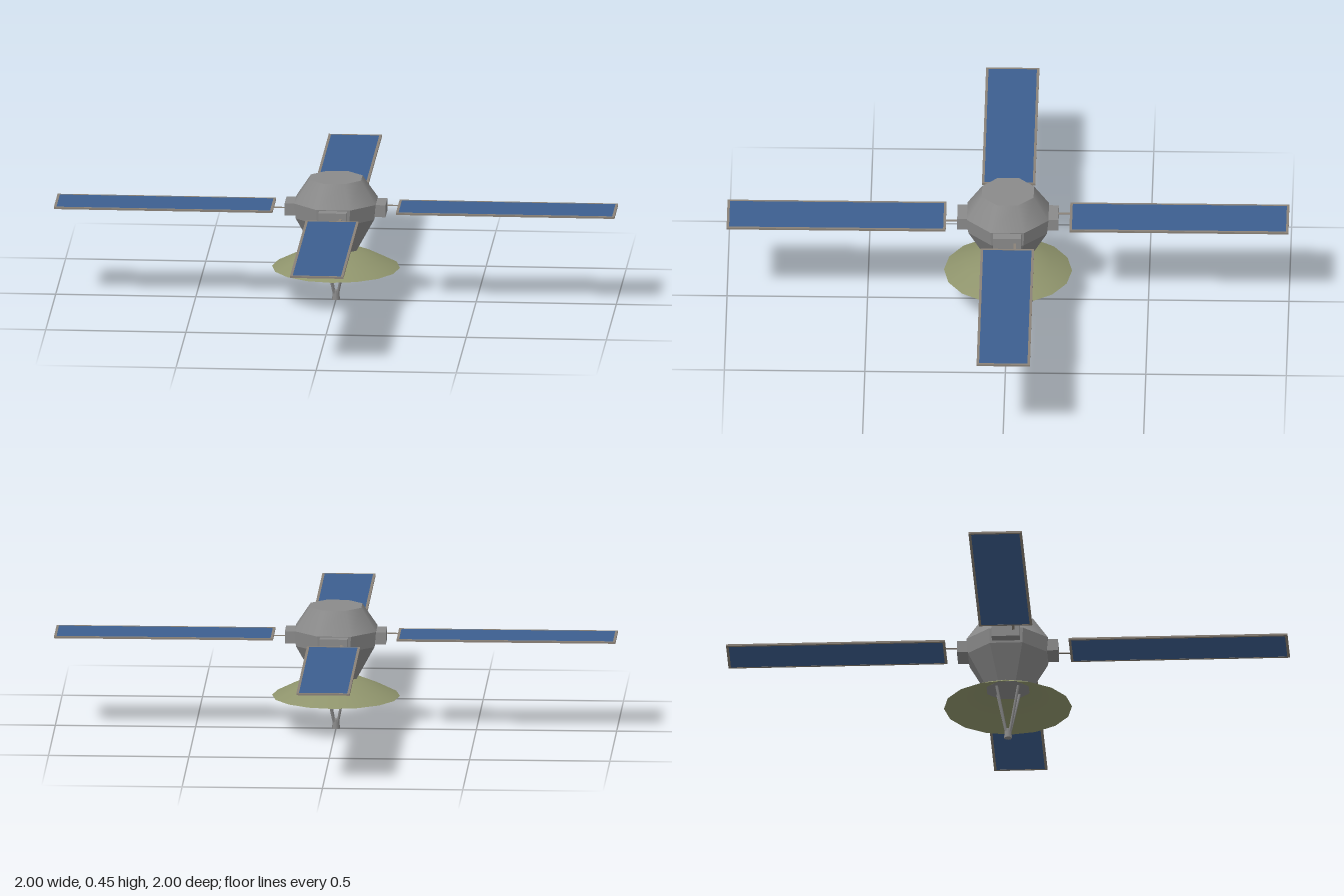
import * as THREE from 'three';

const mat = (name, color, extra = {}) => {
  const m = new THREE.MeshStandardMaterial({ color, ...extra });
  m.name = name;
  return m;
};

export function createModel() {
  const grey = mat('hull grey', 0x8a8a8a);
  const greyFlat = mat('hull grey faceted', 0x8a8a8a, { flatShading: true });
  const olive = mat('dish olive', 0x8f946c, { side: THREE.DoubleSide });
  const blue = mat('solar blue', 0x3c5f90);
  const trim = mat('frame taupe', 0x8a8278);

  const model = new THREE.Group();
  model.name = 'satellite';

  const add = (parent, name, geometry, material, x = 0, y = 0, z = 0) => {
    const mesh = new THREE.Mesh(geometry, material);
    mesh.name = name;
    mesh.position.set(x, y, z);
    parent.add(mesh);
    return mesh;
  };

  // Eight-sided hull with flats facing the wings
  const ring = (name, rTop, rBottom, yTop, yBottom, material) => {
    const k = Math.cos(Math.PI / 8);
    const g = new THREE.CylinderGeometry(rTop / k, rBottom / k, yTop - yBottom, 8);
    g.rotateY(Math.PI / 8);
    add(model, name, g, material, 0, (yTop + yBottom) / 2, 0);
  };
  ring('upperHull', 0.092, 0.145, 0.448, 0.365, grey);
  ring('hullBelt', 0.145, 0.14, 0.365, 0.31, greyFlat);
  ring('lowerHull', 0.14, 0.075, 0.31, 0.188, greyFlat);

  // Downward-facing dish
  const profile = [[0.228, 0.12], [0.155, 0.157], [0.08, 0.188], [0, 0.195]]
    .map(([r, y]) => new THREE.Vector2(r, y));
  add(model, 'dish', new THREE.LatheGeometry(profile, 16), olive);

  // Feed horn held by four struts
  add(model, 'feedHorn', new THREE.CylinderGeometry(0.012, 0.014, 0.035, 8), grey, 0, 0.0175, 0);
  for (let i = 0; i < 4; i++) {
    const a = Math.PI / 4 + (i * Math.PI) / 2;
    const foot = new THREE.Vector3(0.01 * Math.cos(a), 0.025, 0.01 * Math.sin(a));
    const head = new THREE.Vector3(0.055 * Math.cos(a), 0.188, 0.055 * Math.sin(a));
    const strut = new THREE.TubeGeometry(new THREE.LineCurve3(foot, head), 1, 0.005, 6);
    add(model, 'feedStrut', strut, grey);
  }

  // Four identical wings, each turned a quarter
  const x0 = 0.22, x1 = 1, w = 0.19, t = 0.007, edge = 0.009, zc = -0.002, y = 0.342;
  const length = x1 - x0, xc = (x0 + x1) / 2;
  for (let i = 0; i < 4; i++) {
    const wing = new THREE.Group();
    wing.name = 'wing';
    wing.rotation.y = (i * Math.PI) / 2;
    model.add(wing);

    add(wing, 'wingMount', new THREE.BoxGeometry(0.06, 0.044, 0.1), grey, 0.15, 0.34, 0);
    add(wing, 'wingArm', new THREE.BoxGeometry(0.06, 0.002, 0.009), trim, 0.195, y, -0.028);
    add(wing, 'solarPanel', new THREE.BoxGeometry(length - 2 * edge, t - 0.001, w - 2 * edge), blue, xc, y, zc);
    for (const s of [-1, 1]) {
      add(wing, 'frameSide', new THREE.BoxGeometry(length, t, edge), trim,
        xc, y, zc + (s * (w - edge)) / 2);
      add(wing, 'frameEnd', new THREE.BoxGeometry(edge, t, w - 2 * edge), trim,
        xc + (s * (length - edge)) / 2, y, zc);
    }
  }
  return model;
}
